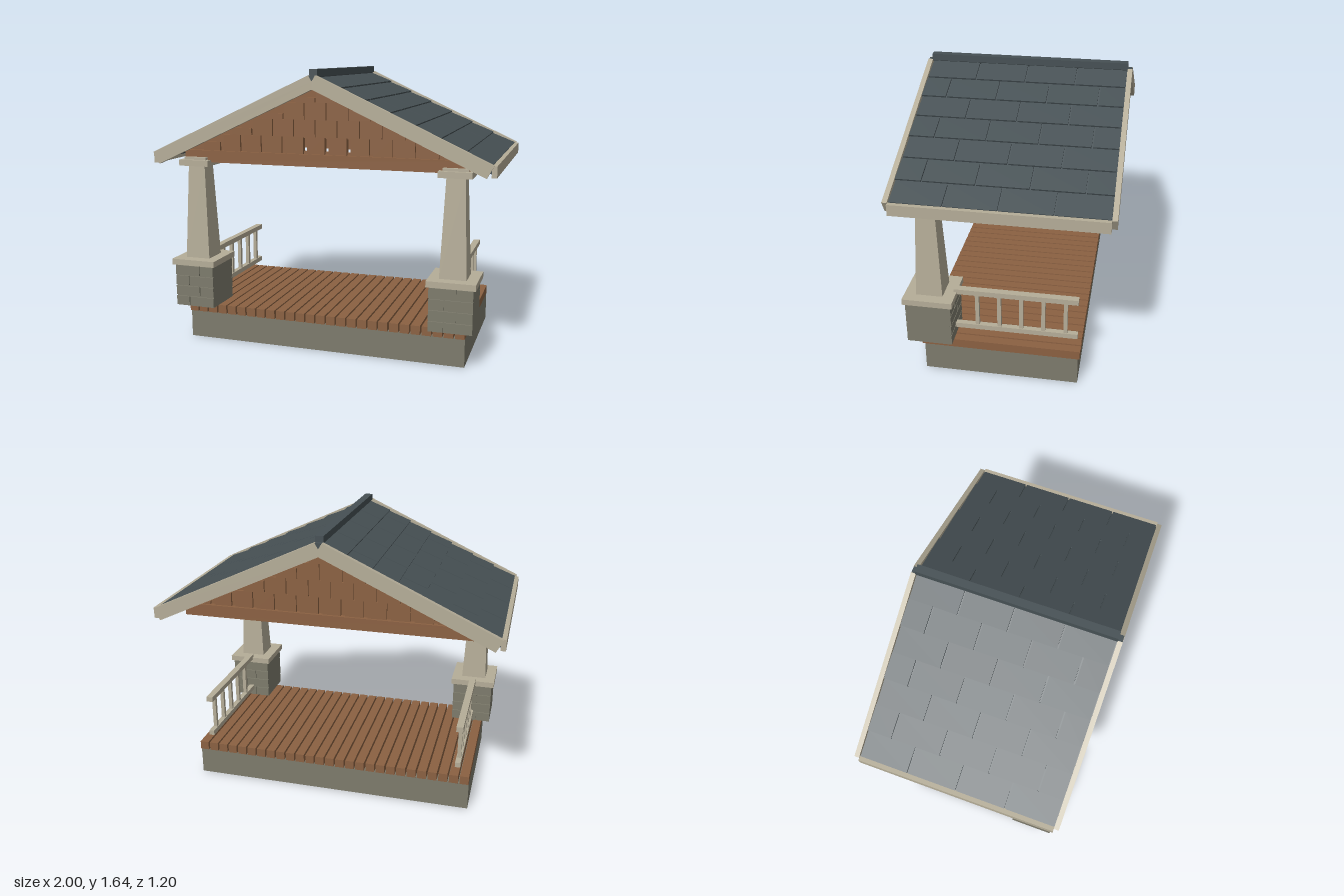
import * as THREE from 'three';

const paint = (name, color) => {
  const m = new THREE.MeshStandardMaterial({ color });
  m.name = name;
  return m;
};

export function createModel() {
  const cream = paint('cream trim', 0xb5ad98);
  const stone = paint('grey stone', 0x7d7b6c);
  const wood = paint('brown wood', 0x8b6142);
  const slate = paint('slate shingle', 0x465054);
  const root = new THREE.Group();
  root.name = 'porch';

  const group = (name, parent = root) => {
    const g = new THREE.Group();
    g.name = name;
    parent.add(g);
    return g;
  };
  const mesh = (name, geo, mat, parent = root) => {
    const m = new THREE.Mesh(geo, mat);
    m.name = name;
    parent.add(m);
    return m;
  };
  // Box given by its limits on each axis
  const box = (name, mat, [x0, x1], [y0, y1], [z0, z1], parent) => {
    const m = mesh(name, new THREE.BoxGeometry(x1 - x0, y1 - y0, z1 - z0), mat, parent);
    m.position.set((x0 + x1) / 2, (y0 + y1) / 2, (z0 + z1) / 2);
    return m;
  };
  // Outline in x and y, extruded from z0 to z1
  const prism = (name, mat, points, z0, z1, parent, holes = []) => {
    const toVectors = (list) => list.map(([x, y]) => new THREE.Vector2(x, y));
    const shape = new THREE.Shape(toVectors(points));
    holes.forEach((h) => shape.holes.push(new THREE.Path(toVectors(h))));
    const geo = new THREE.ExtrudeGeometry(shape, { depth: z1 - z0, bevelEnabled: false });
    return mesh(name, geo.translate(0, 0, z0), mat, parent);
  };

  // Foundation and deck planks
  box('foundation', stone, [-0.845, 0.845], [0, 0.168], [-0.415, 0.47]);
  const deck = group('deck');
  const planks = 27, pitch = 1.7 / planks;
  for (let i = 0; i < planks; i++) {
    const x = -0.845 + i * pitch;
    box('deckPlank', wood, [x, x + pitch - 0.01], [0.168, 0.22], [-0.425, 0.485], deck);
  }

  const postX = 0.773, postZ = 0.425;
  for (const side of [-1, 1]) {
    // Stone pier, tapered column and caps
    const post = group(side > 0 ? 'leftPost' : 'rightPost');
    post.position.set(side * postX, 0, postZ);
    const block = (name, mat, r, y0, y1, rz = r) => box(name, mat, [-r, r], [y0, y1], [-rz, rz], post);
    block('pierCore', stone, 0.1225, 0.22, 0.475, 0.121);
    for (const face of [-1, 1]) {
      for (let row = 0; row < 4; row++) {
        const y = 0.222 + row * 0.0635;
        const joint = row % 2 ? 0.035 : -0.035;
        const z = [face * 0.125 - 0.0045, face * 0.125 + 0.0045];
        box('pierStone', stone, [-0.1225, joint - 0.003], [y, y + 0.057], z, post);
        box('pierStone', stone, [joint + 0.003, 0.1225], [y, y + 0.057], z, post);
      }
    }
    block('pierCap', cream, 0.137, 0.475, 0.51, 0.142);
    const shaft = new THREE.CylinderGeometry(0.052 * Math.SQRT2, 0.076 * Math.SQRT2, 0.56, 4, 1)
      .rotateY(Math.PI / 4).toNonIndexed();
    shaft.computeVertexNormals();
    mesh('column', shaft, cream, post).position.y = 0.79;
    block('columnCap', cream, 0.093, 1.07, 1.105);
    block('columnCapTop', cream, 0.07, 1.105, 1.12);

    // Side railing
    const railing = group(side > 0 ? 'leftRailing' : 'rightRailing');
    const cx = side * postX;
    box('topRail', cream, [cx - 0.02, cx + 0.02], [0.497, 0.528], [-0.405, 0.3], railing);
    box('bottomRail', cream, [cx - 0.016, cx + 0.016], [0.265, 0.295], [-0.405, 0.3], railing);
    for (let i = 0; i < 5; i++) {
      const z = 0.17 - i * 0.126;
      box('baluster', cream, [cx - 0.011, cx + 0.011], [0.295, 0.497], [z - 0.011, z + 0.011], railing);
    }
  }

  // Gable ends: beam, wall and stepped rows of wooden shingles
  const slope = 0.464;
  for (const end of [1, -1]) {
    const gable = group(end > 0 ? 'frontGable' : 'backGable');
    const span = (a, b) => (end > 0 ? [a, b] : [-b, -a]);
    box('gableBeam', wood, [-0.85, 0.85], [1.09, 1.16], span(0.39, 0.47), gable);
    // Narrow slots open through the front wall
    const slots = end > 0 ? [-0.095, 0.035, 0.165].map((x) => [
      [x - 0.012, 1.175], [x - 0.012, 1.25], [x + 0.012, 1.25], [x + 0.012, 1.175]]) : [];
    prism('gableWall', wood, [[-0.85, 1.16], [0.85, 1.16], [0, 1.555]], ...span(0.42, 0.44), gable, slots);
    for (let row = 0; row < 4; row++) {
      const y0 = 1.16 + row * 0.097, gap = row ? 0.005 : 0.012;
      for (let k = -7; k < 7; k++) {
        const x0 = 0.035 + (k + (row % 2) / 2) * 0.13 + gap, x1 = x0 + 0.13 - 2 * gap;
        const limit = 1.55 - slope * Math.max(Math.abs(x0), Math.abs(x1));
        const y1 = Math.min(y0 + 0.097, limit);
        if (y1 - y0 > 0.01) box('gableShingle', wood, [x0, x1], [y0, y1], span(0.44, 0.455), gable);
      }
    }
  }

  // Roof slopes
  const angle = Math.atan(slope), courses = 7, step = 1.068 / courses;
  for (const side of [-1, 1]) {
    const roof = group(side > 0 ? 'leftRoof' : 'rightRoof');
    const flip = (points) => points.map(([x, y]) => [side * x, y]);
    prism('roofDeck', slate, flip([[0, 1.59], [0.972, 1.139], [0.972, 1.109], [0, 1.56]]), -0.57, 0.57, roof);

    // Overlapping courses with joints staggered by half a shingle
    for (let row = 0; row < courses; row++) {
      const d = (row + 0.5) * step;
      const x = d * Math.cos(angle) + 0.008 * Math.sin(angle);
      const y = 1.59 - d * Math.sin(angle) + 0.008 * Math.cos(angle);
      const shift = row % 2 ? 0.1425 : 0;
      for (let z = -0.57 - shift; z < 0.56; z += 0.285) {
        const z0 = Math.max(-0.57, z + 0.004), z1 = Math.min(0.57, z + 0.281);
        const tile = mesh('roofShingle', new THREE.BoxGeometry(step, 0.01, z1 - z0), slate, roof);
        tile.position.set(side * x, y, (z0 + z1) / 2);
        tile.rotation.z = -side * (angle - 0.06);
      }
    }

    // Sloping rake boards, notched at the peak, and the eave fascia
    const rake = flip([[0, 1.53], [0.95, 1.089], [0.987, 1.157], [0.02, 1.606], [0, 1.572]]);
    prism('frontRake', cream, rake, 0.57, 0.598, roof);
    prism('backRake', cream, rake, -0.598, -0.57, roof);
    const edge = side > 0 ? [0.972, 1] : [-1, -0.972];
    box('eaveFascia', cream, edge, [1.09, 1.153], [-0.57, 0.57], roof);
  }

  // Ridge cap and the small keel that fills the notch
  box('ridgeCap', slate, [-0.023, 0.023], [1.6, 1.638], [-0.572, 0.572]);
  prism('ridgeKeel', slate, [[0, 1.572], [0.019, 1.605], [-0.019, 1.605]], -0.596, 0.596);
  return root;
}
